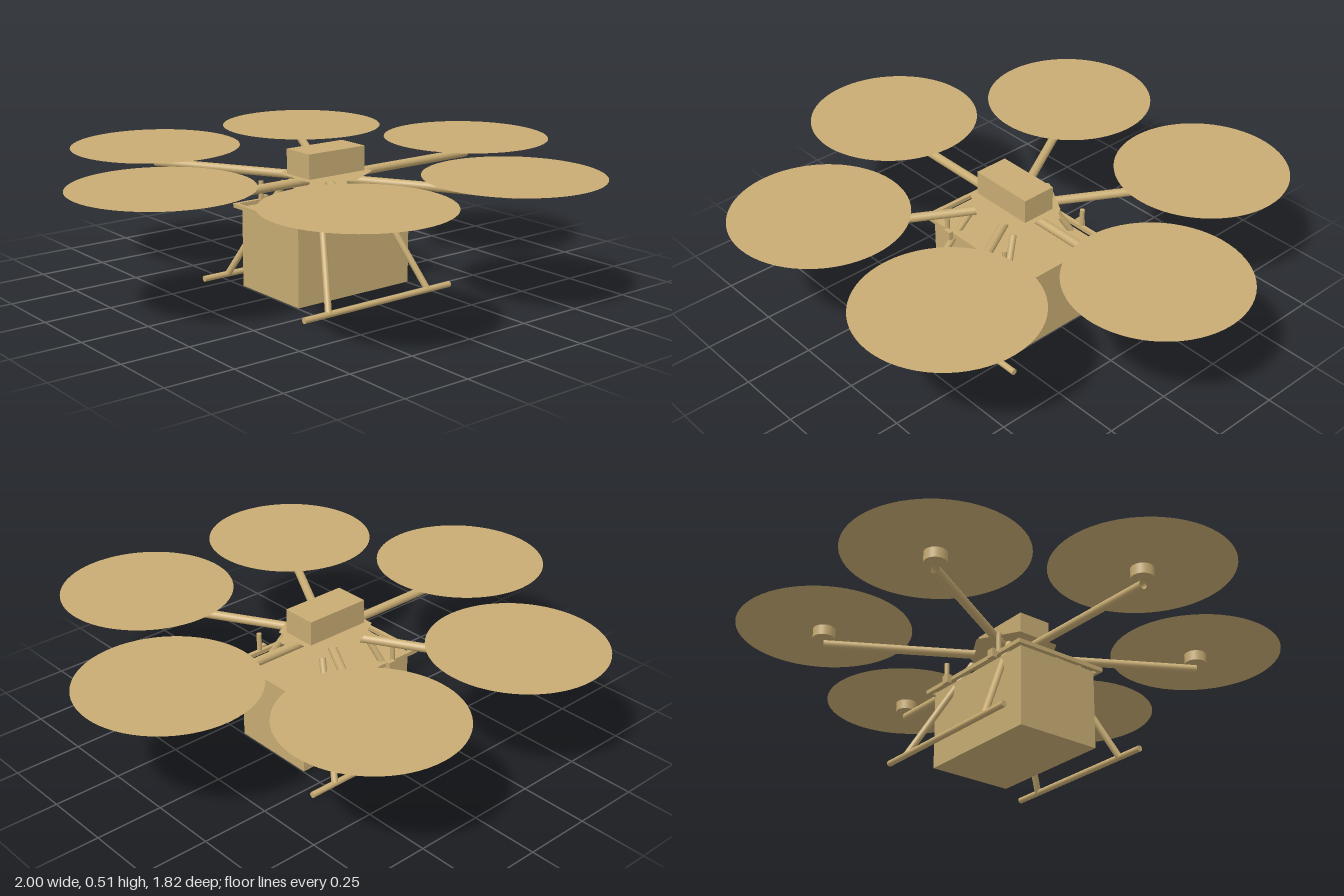
import * as THREE from 'three';

const tan = new THREE.MeshStandardMaterial({ color: 0xc8ac73 });
const tanSheet = new THREE.MeshStandardMaterial({ color: 0xc8ac73, side: THREE.DoubleSide });

export function createModel() {
  const drone = new THREE.Group();
  drone.name = 'hexacopter';

  const add = (name, geometry, x, y, z, material = tan) => {
    const mesh = new THREE.Mesh(geometry, material);
    mesh.name = name;
    mesh.position.set(x, y, z);
    drone.add(mesh);
    return mesh;
  };
  const box = (name, w, h, d, x, y, z) => add(name, new THREE.BoxGeometry(w, h, d), x, y, z);

  // Round rod between two points
  const rod = (name, a, b, radius, open = false) => {
    const from = new THREE.Vector3(...a), to = new THREE.Vector3(...b);
    const mid = from.clone().add(to).multiplyScalar(0.5);
    const geometry = new THREE.CylinderGeometry(radius, radius, from.distanceTo(to), 20, 1, open);
    const mesh = add(name, geometry, mid.x, mid.y, mid.z, open ? tanSheet : tan);
    mesh.quaternion.setFromUnitVectors(new THREE.Vector3(0, 1, 0), to.sub(from).normalize());
  };

  // Six hollow arms, each with a motor and a flat rotor disc
  for (let i = 0; i < 6; i++) {
    const c = Math.cos(i * Math.PI / 3), s = Math.sin(i * Math.PI / 3);
    const reach = 0.685;
    rod('arm', [0.085 * c, 0.4, 0.085 * s], [reach * c, 0.4, reach * s], 0.016, true);
    add('motor', new THREE.CylinderGeometry(0.04, 0.04, 0.038, 32), reach * c, 0.441, reach * s);
    const disc = new THREE.CircleGeometry(0.315, 64).rotateX(-Math.PI / 2);
    add('rotorDisc', disc, reach * c, 0.463, reach * s, tanSheet);
  }

  // Two thin hexagonal hub plates clamp the arms; battery sits on top
  for (const [name, y] of [['lowerHubPlate', 0.381], ['upperHubPlate', 0.419]]) {
    const plate = new THREE.CircleGeometry(0.168, 6, Math.PI / 2).rotateX(-Math.PI / 2);
    add(name, plate, 0, y, 0, tanSheet);
  }
  box('battery', 0.25, 0.09, 0.13, 0, 0.465, 0);

  // Cargo box inside a rectangular rail frame
  box('cargoBox', 0.5, 0.295, 0.33, 0, 0.15, 0);
  for (const side of [-1, 1]) {
    box('longRail', 0.544, 0.015, 0.015, 0, 0.302, side * 0.182);
    box('shortRail', 0.015, 0.015, 0.35, side * 0.2645, 0.302, 0);

    // Landing skid along x
    rod('skid', [-0.33, 0.011, side * 0.3], [0.33, 0.011, side * 0.3], 0.011);

    // Splayed legs, with hanger posts and clamps on the frame
    for (const end of [-1, 1]) {
      rod('leg', [end * 0.107, 0.38, side * 0.103], [end * 0.225, 0.012, side * 0.299], 0.012);
      rod('hangerPost', [end * 0.153, 0.3, side * 0.185], [end * 0.153, 0.375, side * 0.185], 0.009);
      box('clamp', 0.03, 0.032, 0.018, end * 0.132, 0.3, side * 0.198);
    }
  }
  return drone;
}
